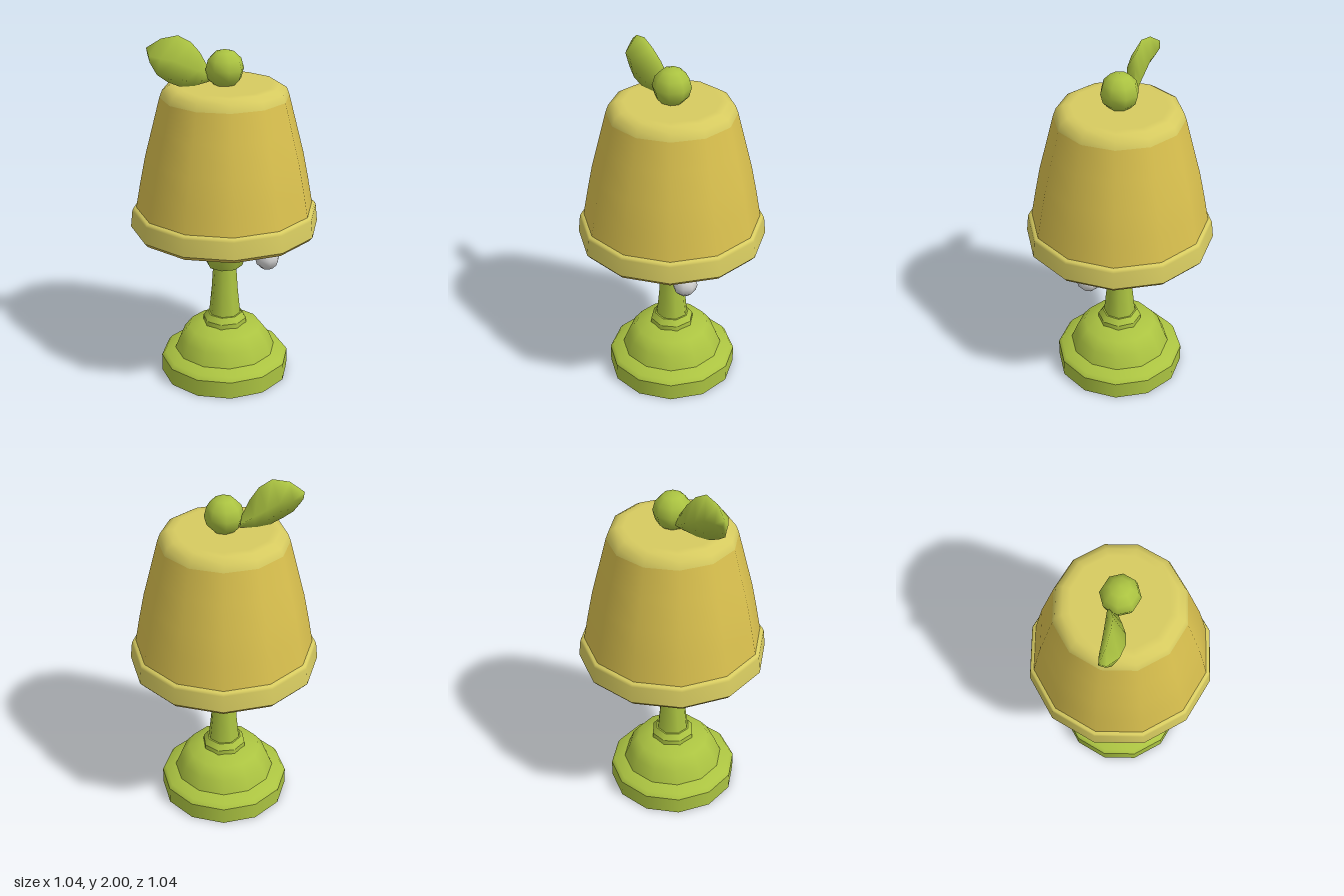
import * as THREE from 'three';

const paint = (name, color, side = THREE.FrontSide) => {
  const m = new THREE.MeshStandardMaterial({ color, side });
  m.name = name;
  return m;
};

export function createModel() {
  const green = paint('leaf green', 0xabc341, THREE.DoubleSide);
  const gold = paint('shade gold', 0xd9c04e);
  const trim = paint('pale yellow trim', 0xd7cb60);
  const silver = paint('light grey', 0xd4d4d4);

  const group = new THREE.Group();
  const add = (name, geometry, material, x = 0, y = 0, z = 0) => {
    const mesh = new THREE.Mesh(geometry, material);
    mesh.name = name;
    mesh.position.set(x, y, z);
    group.add(mesh);
    return mesh;
  };
  // Turned part from [radius, height] pairs; a repeated pair makes a hard edge
  const turn = (name, profile, sides, material) =>
    add(name, new THREE.LatheGeometry(
      profile.map(([r, y]) => new THREE.Vector2(r, y)), sides, Math.PI / 8), material);

  // Hollow stepped foot
  turn('base', [
    [0.37, 0], [0.37, 0.1], [0.37, 0.1], [0.352, 0.125], [0.29, 0.145], [0.29, 0.145],
    [0.26, 0.22], [0.21, 0.285], [0.115, 0.31], [0, 0.32],
  ], 12, green);

  // Collar, stem and flared socket
  turn('collar', [
    [0.127, 0.29], [0.125, 0.335], [0.125, 0.335], [0.1, 0.368], [0.1, 0.368], [0, 0.372],
  ], 8, green);
  turn('stem', [[0.094, 0.34], [0.076, 0.52], [0.066, 0.68]], 8, green);
  turn('socket', [
    [0, 0.66], [0.1, 0.665], [0.1, 0.665], [0.122, 0.715], [0.145, 0.8], [0.172, 0.88],
    [0.185, 0.95], [0.2, 1.1], [0.2, 1.1], [0, 1.12],
  ], 8, green);

  // Lamp shade: outer wall, inner wall, bottom rim and top cap
  turn('shadeWall', [
    [0.497, 1.02], [0.468, 1.18], [0.438, 1.33], [0.394, 1.5], [0.353, 1.66],
  ], 12, gold);
  turn('shadeLining', [
    [0, 1.69], [0.32, 1.69], [0.32, 1.69], [0.41, 1.33], [0.48, 0.9],
  ], 12, gold);
  turn('shadeRimUnderside', [
    [0.48, 0.9], [0.508, 0.898], [0.508, 0.898], [0.527, 0.92],
  ], 12, gold);
  turn('shadeRim', [
    [0.527, 0.92], [0.517, 1.015], [0.51, 1.03], [0.49, 1.035],
  ], 12, trim);
  turn('shadeCap', [
    [0.353, 1.66], [0.338, 1.7], [0.3, 1.724], [0.26, 1.726], [0, 1.726],
  ], 12, trim);

  // Pull cord with bead
  add('pullCord', new THREE.CylinderGeometry(0.027, 0.027, 0.5, 8), silver, 0.23, 1.0, 0.08);
  add('pullBead', new THREE.SphereGeometry(0.071, 8, 6), silver, 0.23, 0.72, 0.08);

  // Finial ball
  add('finial', new THREE.SphereGeometry(0.106, 8, 6), green, 0, 1.81, 0);

  // Leaf: lens sections [topX, topY, bottomX, bottomY, middleZ, halfThickness]
  const sections = [
    [-0.08, 1.81, -0.08, 1.74, -0.03, 0.025],
    [-0.13, 1.90, -0.17, 1.725, -0.01, 0.042],
    [-0.18, 1.96, -0.25, 1.73, 0.005, 0.055],
    [-0.25, 2.0, -0.315, 1.76, 0.01, 0.058],
    [-0.34, 1.985, -0.37, 1.80, 0, 0.05],
    [-0.415, 1.935, -0.402, 1.86, -0.025, 0.02],
  ];
  const points = [];
  const faces = [];
  sections.forEach(([tx, ty, bx, by, z, t], i) => {
    const mx = (tx + bx) / 2, my = (ty + by) / 2;
    points.push(tx, ty, z - 0.015, mx, my, z + t, bx, by, z + 0.015, mx, my, z - t);
    if (i === 0) return;
    for (let j = 0; j < 4; j++) {
      const k = (j + 1) % 4, p = (i - 1) * 4, q = i * 4;
      faces.push(p + j, q + j, q + k, p + j, q + k, p + k);
    }
  });
  const end = (sections.length - 1) * 4;
  faces.push(0, 1, 2, 0, 2, 3, end, end + 2, end + 1, end, end + 3, end + 2);
  const leaf = new THREE.BufferGeometry();
  leaf.setAttribute('position', new THREE.Float32BufferAttribute(points, 3));
  leaf.setIndex(faces);
  leaf.computeVertexNormals();
  add('leaf', leaf, green);

  return group;
}
